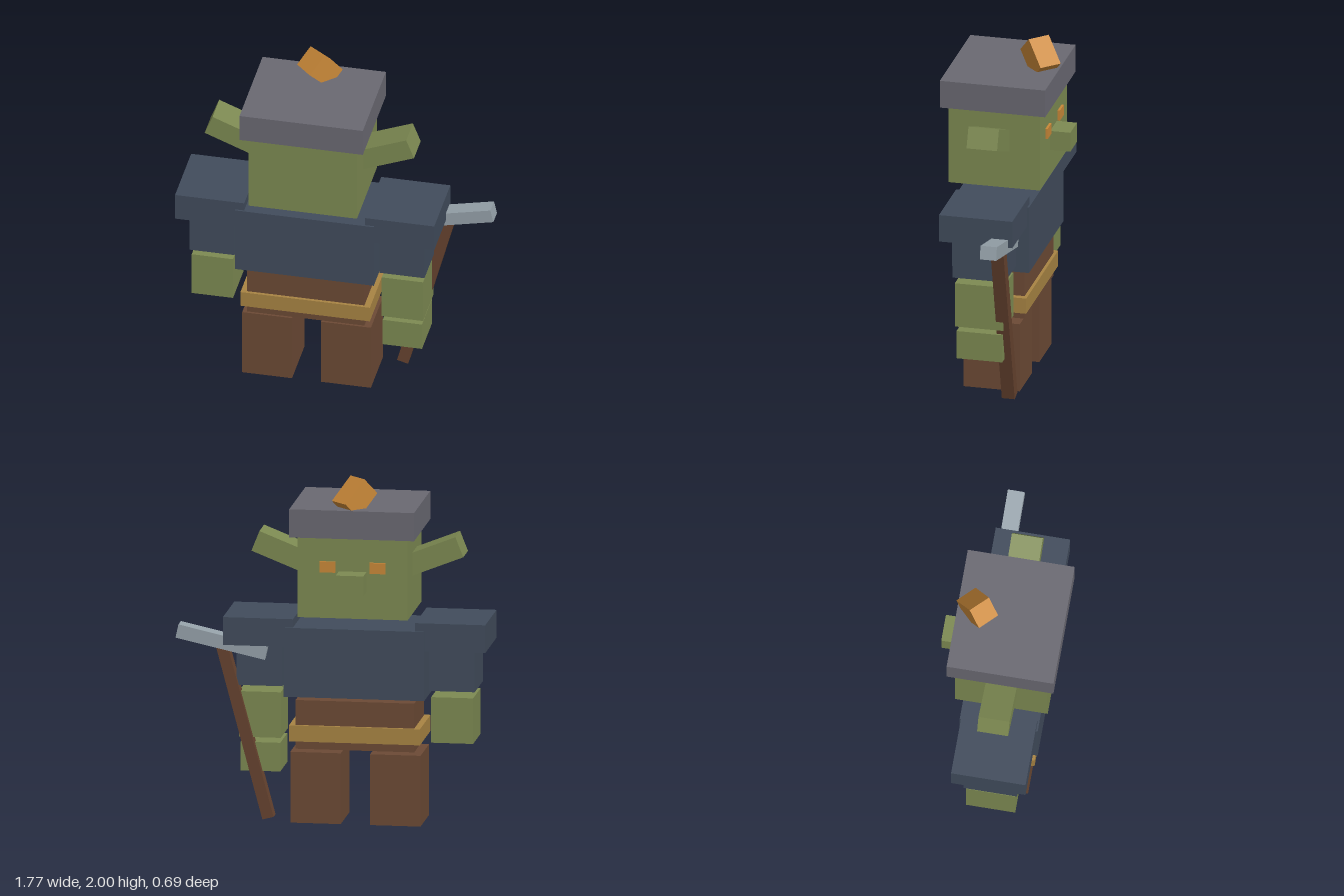
import * as THREE from 'three';

const mat = (name, color) => {
  const m = new THREE.MeshStandardMaterial({ color });
  m.name = name;
  return m;
};

export function createModel() {
  const skin = mat('green skin', 0x7d8a52);
  const jacket = mat('slate jacket', 0x414c5c);
  const trousers = mat('brown trousers', 0x6c4a35);
  const wood = mat('dark wood', 0x66432f);
  const gold = mat('belt gold', 0xa88443);
  const cap = mat('grey cap', 0x6a6972);
  const steel = mat('steel', 0x96a2aa);
  const orange = mat('orange', 0xc98838);

  const model = new THREE.Group();
  model.name = 'minerFigure';

  // Body axis: most parts are centred on this x and z
  const CX = -0.1375, CZ = 0.0375;

  const block = (name, material, w, h, d, x, y, z) => {
    const mesh = new THREE.Mesh(new THREE.BoxGeometry(w, h, d), material);
    mesh.name = name;
    mesh.position.set(x, y, z);
    model.add(mesh);
    return mesh;
  };
  // Block on the body axis, given by its bottom and top
  const stacked = (name, material, w, d, y0, y1, dx = 0) =>
    block(name, material, w, y1 - y0, d, CX + dx, (y0 + y1) / 2, CZ);

  // Torso and head
  stacked('waist', trousers, 0.675, 0.365, 0.43, 0.71);
  stacked('belt', gold, 0.745, 0.4, 0.475, 0.567);
  stacked('torso', jacket, 0.8, 0.445, 0.735, 1.132);
  stacked('head', skin, 0.625, 0.53, 1.205, 1.67);
  stacked('cap', cap, 0.71, 0.61, 1.67, 1.832);

  // Paired parts
  for (const [side, s] of [['left', 1], ['right', -1]]) {
    stacked(side + 'Leg', trousers, 0.287, 0.325, 0, 0.407, s * 0.227);
    stacked(side + 'ShoulderPad', jacket, 0.398, 0.425, 1.02, 1.18, s * 0.547);
    stacked(side + 'UpperArm', jacket, 0.26, 0.305, 0.78, 1.02, s * 0.547);
    stacked(side + 'Forearm', skin, 0.238, 0.28, 0.48, 0.742, s * 0.547);

    const ear = block(side + 'Ear', skin, 0.4, 0.123, 0.177, CX + s * 0.394, 1.524, CZ);
    ear.rotation.z = s * THREE.MathUtils.degToRad(21.6);

    block(side + 'Eye', orange, 0.09, 0.062, 0.03, CX + s * 0.1425, 1.5, -0.226);
  }
  block('nose', skin, 0.157, 0.115, 0.14, CX, 1.418, -0.275);
  stacked('leftHand', skin, 0.226, 0.265, 0.285, 0.45, 0.545);

  // Tilted tuft sunk into the cap
  const tuft = block('capTuft', orange, 0.132, 0.184, 0.128, CX, 1.89, -0.153);
  tuft.rotation.set(Math.PI / 4, -Math.PI / 4, 0, 'YXZ');

  // Pickaxe
  const handle = block('pickHandle', wood, 0.066, 1.01, 0.075, 0.489, 0.511, -0.0975);
  handle.rotation.z = -THREE.MathUtils.degToRad(15);
  const pick = block('pickHead', steel, 0.52, 0.078, 0.095, 0.62, 1.03, -0.1025);
  pick.rotation.z = THREE.MathUtils.degToRad(12.5);

  return model;
}
